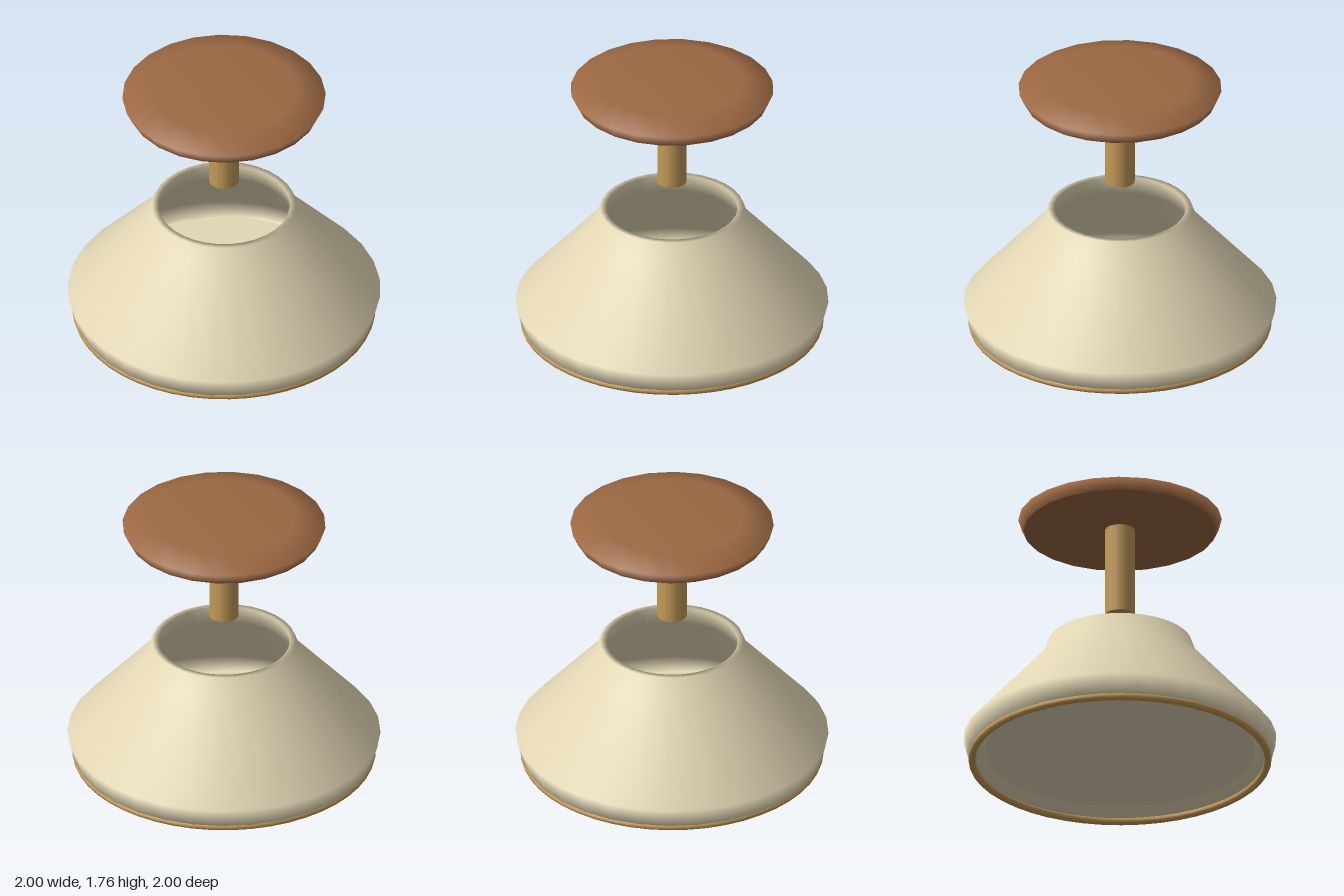
import * as THREE from 'three';

const material = (color) => new THREE.MeshStandardMaterial({ color });

// Spin a bottom-to-top outer profile of [radius, height] points
function lathe(points, segments) {
  return new THREE.LatheGeometry(points.map(([r, y]) => new THREE.Vector2(r, y)), segments);
}

export function createModel() {
  const group = new THREE.Group();
  const cream = material(0xe3d7b5);
  const tan = material(0xc49a58);
  const brown = material(0x9c6843);

  const add = (name, geometry, mat, y = 0) => {
    const mesh = new THREE.Mesh(geometry, mat);
    mesh.name = name;
    mesh.position.y = y;
    group.add(mesh);
    return mesh;
  };

  // Hollow flared body: outer wall, narrow rim, inner wall
  add('body', lathe([
    [0.86, 0.09], [0.92, 0.04], [0.965, 0.04], [1, 0.17], [0.5, 0.73], [0.46, 0.84],
    [0.42, 0.84], [0.45, 0.71], [0.93, 0.17], [0.86, 0.1],
  ], 32), cream);

  // Recessed floor closing the body
  add('floor', new THREE.CylinderGeometry(0.86, 0.86, 0.01, 32), cream, 0.095);

  // Rounded foot ring under the body
  const foot = add('footRing', new THREE.TorusGeometry(0.945, 0.024, 10, 48), tan, 0.024);
  foot.rotation.x = Math.PI / 2;

  // Stem hanging beneath the lid
  add('stem', new THREE.CylinderGeometry(0.095, 0.095, 0.6, 16), tan, 1.336);

  // Lid: softly shaded bevelled disc with a flat underside
  add('lid', lathe([[0.615, 1.635], [0.65, 1.71], [0.46, 1.765], [0, 1.765]], 24), brown);
  const under = add('lidUnderside', new THREE.CircleGeometry(0.615, 24), brown, 1.635);
  under.rotation.x = Math.PI / 2;

  return group;
}
